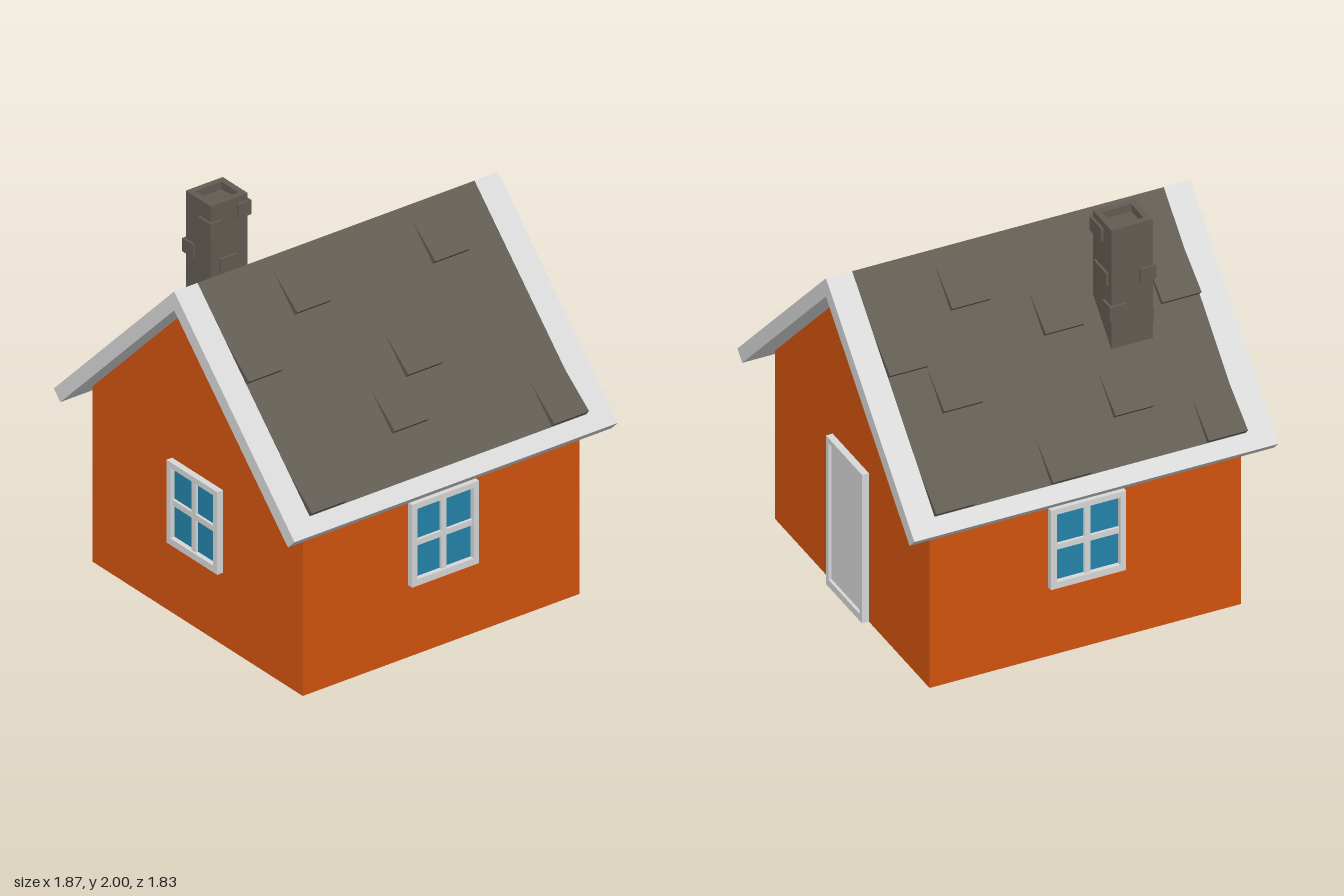
import * as THREE from 'three';

const mat = (name, color, side = THREE.FrontSide) => {
  const m = new THREE.MeshStandardMaterial({ color, side });
  m.name = name;
  return m;
};

export function createModel() {
  const orange = mat('orange wall', 0xd3540f, THREE.DoubleSide);
  const white = mat('white trim', 0xd9d9d9);
  const stone = mat('brown stone', 0x625d53);
  const blue = mat('blue glass', 0x2484ab);

  const house = new THREE.Group();
  house.name = 'house';
  const add = (name, geometry, material, parent = house) => {
    const mesh = new THREE.Mesh(geometry, material);
    mesh.name = name;
    parent.add(mesh);
    return mesh;
  };
  const group = (name, turn) => {
    const g = new THREE.Group();
    g.name = name;
    g.rotation.y = turn;
    house.add(g);
    return g;
  };
  // box given by its lower and upper limits
  const box = (x0, x1, y0, y1, z0, z1) =>
    new THREE.BoxGeometry(x1 - x0, y1 - y0, z1 - z0)
      .translate((x0 + x1) / 2, (y0 + y1) / 2, (z0 + z1) / 2);
  const outline = (pts) => new THREE.Shape(pts.map(([x, y]) => new THREE.Vector2(x, y)));
  const rect = (x0, x1, y0, y1) => outline([[x0, y0], [x1, y0], [x1, y1], [x0, y1]]);
  // side profile of [z, y] points, extruded along x
  const prism = (pts, x0, x1) =>
    new THREE.ExtrudeGeometry(outline(pts.map(([z, y]) => [-z, y])), { depth: x1 - x0, bevelEnabled: false })
      .rotateY(Math.PI / 2).translate(x0, 0, 0);
  // rectangular ring facing +z
  const ring = (x0, x1, y0, y1, b, bottom, z0, z1) => {
    const s = rect(x0, x1, y0, y1);
    s.holes.push(rect(x0 + b, x1 - b, y0 + bottom, y1 - b));
    return new THREE.ExtrudeGeometry(s, { depth: z1 - z0, bevelEnabled: false }).translate(0, 0, z0);
  };

  // Walls, open underneath; each side is built facing +z and turned
  const sides = [
    ['front', 0, false, true], ['right', -Math.PI / 2, true, true],
    ['back', Math.PI, false, true], ['left', Math.PI / 2, true, false],
  ];
  for (const [label, turn, gable, hasWindow] of sides) {
    const side = group(label + 'Side', turn);
    const pts = [[-0.8, 0], [0.8, 0], [0.8, 0.92]];
    if (gable) pts.push([0, 1.72]);
    pts.push([-0.8, 0.92]);
    const shape = outline(pts);
    if (hasWindow) {
      shape.holes.push(rect(-0.18, 0.18, 0.395, 0.8));
      add('windowFrame', ring(-0.193, 0.193, 0.38, 0.815, 0.03, 0.035, 0.765, 0.833), white, side);
      add('windowUpright', box(-0.015, 0.015, 0.41, 0.79, 0.78, 0.822), white, side);
      add('windowCrossbar', box(-0.165, 0.165, 0.585, 0.615, 0.78, 0.822), white, side);
      add('windowGlass', new THREE.PlaneGeometry(0.33, 0.375).translate(0, 0.6, 0.808), blue, side);
    } else {
      add('doorFrame', ring(-0.202, 0.173, 0, 0.813, 0.028, 0.038, 0.77, 0.835), white, side);
      add('door', box(-0.176, 0.147, 0.036, 0.787, 0.79, 0.82), white, side);
    }
    add('wall', new THREE.ShapeGeometry(shape).translate(0, 0, 0.8), orange, side);
  }

  // Roof: 45 degree chevron with white borders round a stone field
  const TOP = 1.82, T = 0.05;
  const chevron = (z) => [
    [0, TOP], [z, TOP - z], [z - T, TOP - z - T], [0, TOP - 2 * T],
    [-z + T, TOP - z - T], [-z, TOP - z],
  ];
  add('roofField', prism(chevron(0.852), -0.8, 0.8), stone);
  add('rakeTrim', prism(chevron(0.915), -0.935, -0.8), white);
  add('rakeTrim', prism(chevron(0.915), 0.8, 0.935), white);
  for (const s of [1, -1]) {
    add('eaveTrim', prism([
      [s * 0.852, TOP - 0.852], [s * 0.915, TOP - 0.915],
      [s * 0.865, TOP - 0.965], [s * 0.802, TOP - 0.902],
    ], -0.8, 0.8), white);
  }

  // Raised shingles: [left x, row], counted down from the ridge
  const shingles = {
    1: [[-0.4, 0], [0.4, 0], [-0.8, 1], [0, 2], [-0.2, 3], [-0.8, 4], [0.6, 4]],
    '-1': [[0.2, 0], [-0.8, 1], [-0.2, 1], [0.6, 1], [0.4, 2], [-0.4, 3], [-0.8, 4], [0, 4], [0.6, 4]],
  };
  for (const s of [1, -1]) {
    for (const [x, row] of shingles[s]) {
      const z0 = 0.05 + row * 0.16, z1 = z0 + 0.16, h = 0.022;
      add('shingle', prism([
        [s * z0, TOP - z0], [s * z1, TOP - z1], [s * (z1 + h), TOP - z1 + h],
      ], x, x + 0.2), stone);
    }
  }

  // Chimney with a hollow rim and a foot cut to the roof slope
  add('chimneyStack', prism([[-0.28, 1.96], [-0.47, 1.96], [-0.47, 1.3], [-0.28, 1.49]], -0.51, -0.297), stone);
  add('chimneyRim', ring(-0.51, -0.297, 0.28, 0.47, 0.031, 0.031, 0, 0.04)
    .rotateX(-Math.PI / 2).translate(0, 1.96, 0), stone);
  const bricks = [
    [-0.522, -0.45, 1.84, 1.915, -0.36, -0.268],
    [-0.36, -0.285, 1.89, 1.965, -0.39, -0.268],
    [-0.34, -0.285, 1.68, 1.75, -0.44, -0.31],
    [-0.46, -0.36, 1.64, 1.71, -0.31, -0.268],
    [-0.37, -0.285, 1.51, 1.585, -0.482, -0.4],
    [-0.522, -0.44, 1.68, 1.75, -0.482, -0.4],
    [-0.522, -0.47, 1.43, 1.5, -0.46, -0.38],
  ];
  for (const b of bricks) add('chimneyBrick', box(...b), stone);

  // The rim must sit on the -z side of the ridge with the stack
  return house;
}
